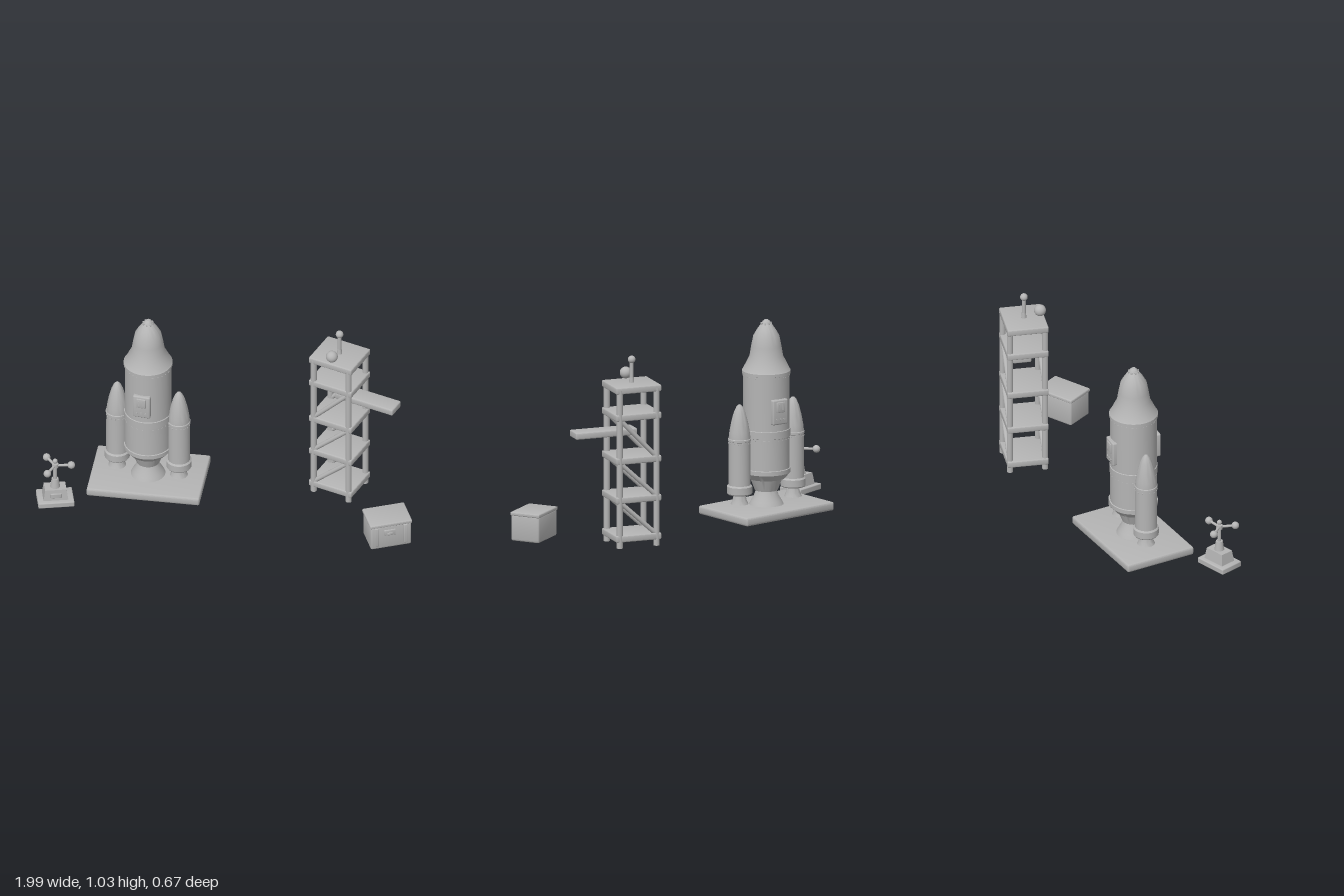
import * as THREE from 'three';
import { toCreasedNormals } from 'three/addons/utils/BufferGeometryUtils.js';
import { RoundedBoxGeometry } from 'three/addons/geometries/RoundedBoxGeometry.js';

const grey = new THREE.MeshStandardMaterial({ color: 0xb4b4b4 });
grey.name = 'plainGrey';

function add(parent, name, geometry, x = 0, y = 0, z = 0) {
  const mesh = new THREE.Mesh(geometry, grey);
  mesh.name = name;
  mesh.position.set(x, y, z);
  parent.add(mesh);
  return mesh;
}

function group(parent, name, x = 0, z = 0, turn = 0) {
  const g = new THREE.Group();
  g.name = name;
  g.position.set(x, 0, z);
  g.rotation.y = turn;
  parent.add(g);
  return g;
}

// Box with bevelled edges
const bevelBox = (w, h, d, r = 0.006) =>
  toCreasedNormals(new RoundedBoxGeometry(w, h, d, 2, r), 0.5);

// Turned solid from [radius, height] pairs, listed bottom to top
const turned = (pairs, sides = 40) =>
  toCreasedNormals(new THREE.LatheGeometry(pairs.map(([r, y]) => new THREE.Vector2(r, y)), sides), 0.45);

const rod = (r, h, top = r) => new THREE.CylinderGeometry(top, r, h, 20);
const ball = (r) => new THREE.SphereGeometry(r, 24, 16);

// Straight round bar between two points
function bar(parent, name, a, b, r) {
  const dir = b.clone().sub(a);
  const m = add(parent, name, rod(r, dir.length()));
  m.position.copy(a).add(b).multiplyScalar(0.5);
  m.quaternion.setFromUnitVectors(new THREE.Vector3(0, 1, 0), dir.normalize());
  return m;
}

// Ring of small studs around the y axis
function studs(parent, name, count, radius, y, w, h, d) {
  for (let i = 0; i < count; i++) {
    const a = (i / count) * Math.PI * 2;
    const m = add(parent, name, new THREE.BoxGeometry(w, h, d), Math.sin(a) * radius, y, Math.cos(a) * radius);
    m.rotation.y = a;
  }
}

function buildRocket(root) {
  const rocket = group(root, 'rocket', -0.443, -0.105, -0.116);

  // Hull with raised bands, shoulder and nose
  add(rocket, 'hull', turned([
    [0, 0.12], [0.06, 0.12], [0.085, 0.185], [0.098, 0.185], [0.126, 0.218], [0.126, 0.24],
    [0.121, 0.242], [0.121, 0.41], [0.125, 0.412], [0.125, 0.45], [0.121, 0.452],
    [0.121, 0.74], [0.127, 0.742], [0.127, 0.758], [0.122, 0.764], [0.087, 0.835],
    [0.079, 0.885], [0.068, 0.94], [0.05, 0.972], [0.03, 1.0], [0.026, 1.003], [0.02, 1.016], [0.01, 1.025], [0, 1.027],
  ], 48));
  studs(rocket, 'noseStud', 8, 0.026, 1.003, 0.008, 0.012, 0.008);
  for (const y of [0.4, 0.732]) studs(rocket, 'rivet', 28, 0.1205, y, 0.012, 0.004, 0.004);

  // Main engine bell
  add(rocket, 'engineBell', turned([
    [0, 0.075], [0.07, 0.045], [0.09, 0.045], [0.08, 0.065], [0.065, 0.09], [0.053, 0.122], [0, 0.13],
  ]));

  // Hatches, front and back
  for (const turn of [0, Math.PI]) {
    const hatch = group(rocket, 'hatch', 0, 0, turn);
    add(hatch, 'hatchPlate', bevelBox(0.093, 0.133, 0.03, 0.008), 0, 0.557, 0.121);
    add(hatch, 'hatchWindow', bevelBox(0.05, 0.055, 0.008, 0.003), 0, 0.583, 0.137);
    for (const x of [-0.012, 0.012])
      add(hatch, 'windowBar', new THREE.BoxGeometry(0.006, 0.03, 0.006), x, 0.585, 0.14);
    for (const x of [-0.022, 0, 0.022])
      add(hatch, 'hatchButton', rod(0.005, 0.007), x, 0.52, 0.137).rotation.x = Math.PI / 2;
  }

  // Side boosters
  for (const side of [-1, 1]) {
    const booster = group(rocket, 'booster', side * 0.166, 0);
    add(booster, 'boosterBody', turned([
      [0, 0.118], [0.062, 0.118], [0.066, 0.124], [0.066, 0.16], [0.058, 0.168], [0.057, 0.4],
      [0.06, 0.402], [0.06, 0.412], [0.057, 0.415], [0.053, 0.45], [0.044, 0.5], [0.031, 0.55],
      [0.018, 0.58], [0.008, 0.592], [0, 0.595],
    ], 32));
    studs(booster, 'boosterRivet', 16, 0.057, 0.39, 0.01, 0.004, 0.004);
    add(booster, 'boosterNozzle', turned([
      [0, 0.085], [0.036, 0.065], [0.046, 0.065], [0.037, 0.085], [0.029, 0.12], [0, 0.122],
    ], 28));
    add(rocket, 'boosterStrut', new THREE.BoxGeometry(0.04, 0.02, 0.03), side * 0.118, 0.3, 0);
  }
}

function buildTower(root) {
  const tower = group(root, 'serviceTower', 0.547, -0.197, -0.33);
  const a = 0.102, b = 0.093;
  const decks = [0.05, 0.255, 0.463, 0.693, 0.838];

  for (const y of decks) add(tower, 'deck', bevelBox(0.25, 0.035, 0.216, 0.006), 0, y, 0);
  for (const x of [-a, a])
    for (const z of [-b, b]) add(tower, 'post', rod(0.016, 0.84), x, 0.42, z);

  // Diagonal braces on the front and back faces
  for (const z of [-b, b])
    for (let i = 0; i < 3; i++)
      bar(tower, 'brace', new THREE.Vector3(-a, decks[i] + 0.01, z),
        new THREE.Vector3(a, decks[i + 1] - 0.01, z), 0.012);

  // Access arm
  add(tower, 'accessArm', bevelBox(0.34, 0.036, 0.098, 0.007), 0.16, 0.605, -0.01);

  // Mast and dome on the roof
  add(tower, 'mastFoot', rod(0.014, 0.03, 0.011), 0, 0.868, 0);
  add(tower, 'mast', rod(0.01, 0.12), 0, 0.91, 0);
  add(tower, 'mastBall', ball(0.02), 0, 0.977, 0);
  add(tower, 'beacon', ball(0.031), 0, 0.889, 0.085);
}

function buildCrate(root) {
  const crate = group(root, 'supplyCrate', 0.861, 0.216, 0.42);
  add(crate, 'crateBody', bevelBox(0.218, 0.142, 0.16, 0.01), 0, 0.071, 0);
  add(crate, 'crateLid', bevelBox(0.226, 0.02, 0.168, 0.007), 0, 0.144, 0);
  for (const x of [-0.077, 0.077])
    add(crate, 'crateRib', bevelBox(0.02, 0.115, 0.014, 0.004), x, 0.077, 0.08);
  add(crate, 'latchPlate', bevelBox(0.062, 0.034, 0.01, 0.003), -0.008, 0.098, 0.081);
  add(crate, 'latchTab', bevelBox(0.028, 0.014, 0.01, 0.003), -0.008, 0.092, 0.085);
}

function buildWindGauge(root) {
  const gauge = group(root, 'windGauge', -0.891, 0.152, 0.26);
  add(gauge, 'gaugeBase', bevelBox(0.188, 0.032, 0.135, 0.006), 0, 0.016, 0);

  // Housing narrows towards its top
  const housing = new THREE.BoxGeometry(0.13, 0.062, 0.09);
  const p = housing.attributes.position;
  for (let i = 0; i < p.count; i++)
    if (p.getY(i) > 0) p.setXYZ(i, p.getX(i) * 0.86, p.getY(i), p.getZ(i) * 0.8);
  housing.computeVertexNormals();
  add(gauge, 'gaugeHousing', housing, 0, 0.061, 0);
  add(gauge, 'gaugePanel', bevelBox(0.06, 0.026, 0.01, 0.003), 0, 0.06, 0.042);

  add(gauge, 'gaugeNeck', rod(0.026, 0.052, 0.018), 0, 0.117, 0);
  add(gauge, 'gaugePole', rod(0.01, 0.11), 0, 0.18, 0);
  add(gauge, 'gaugeHub', rod(0.017, 0.022), 0, 0.226, 0);
  add(gauge, 'gaugeTip', ball(0.013), 0, 0.253, 0);

  // Three arms with round cups
  const hub = new THREE.Vector3(0, 0.226, 0);
  for (let i = 0; i < 3; i++) {
    const t = 0.08 + (i * Math.PI * 2) / 3;
    const end = new THREE.Vector3(Math.cos(t) * 0.084, 0.226, Math.sin(t) * 0.084);
    bar(gauge, 'gaugeArm', hub, end, 0.007);
    add(gauge, 'gaugeCup', ball(0.02), end.x, end.y, end.z);
  }
}

export function createModel() {
  const root = new THREE.Group();
  root.name = 'launchSite';
  add(root, 'launchPad', bevelBox(0.592, 0.045, 0.393, 0.01), -0.441, 0.0225, -0.108);
  buildRocket(root);
  buildTower(root);
  buildCrate(root);
  buildWindGauge(root);
  return root;
}
